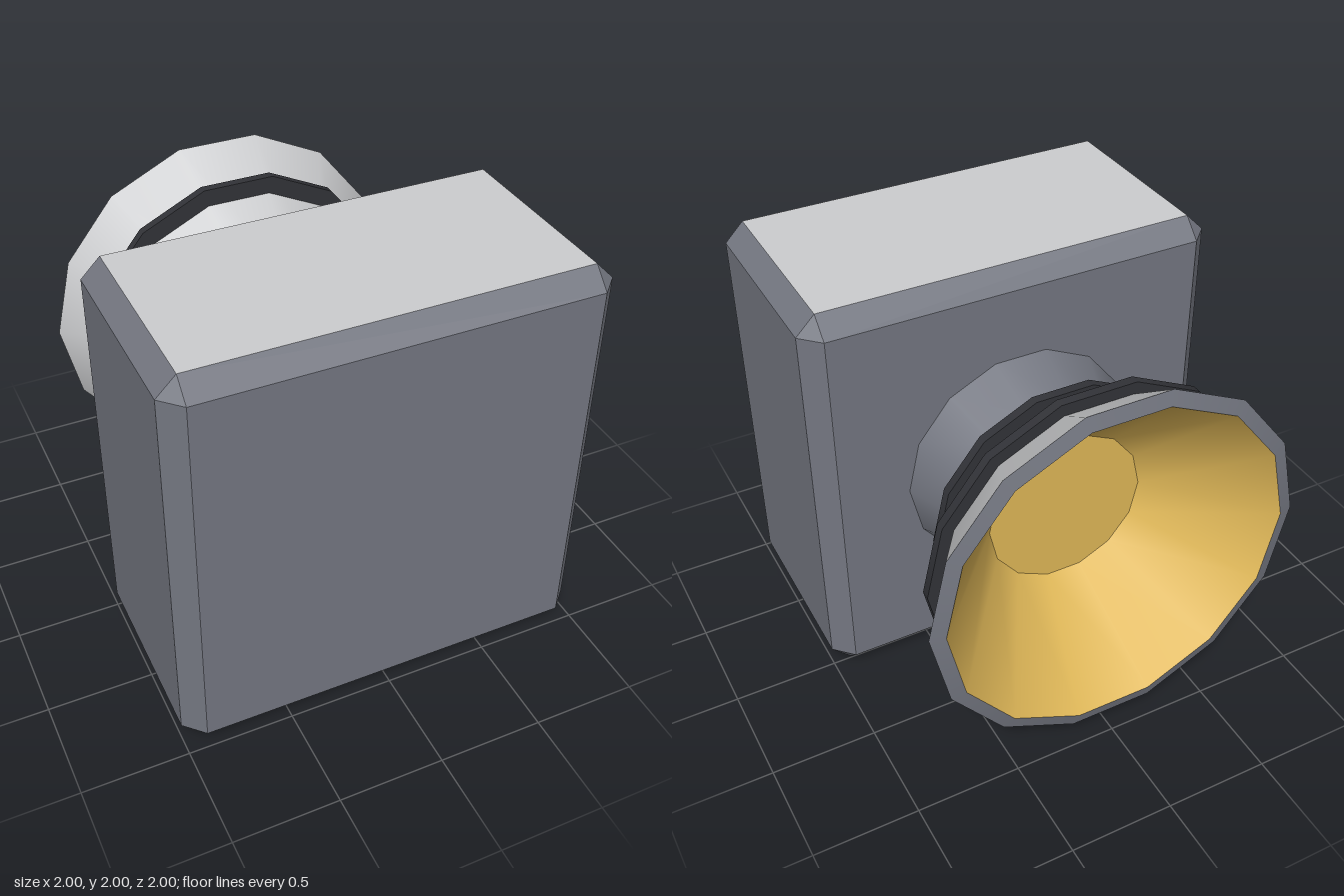
import * as THREE from 'three';
import { mergeGeometries } from 'three/addons/utils/BufferGeometryUtils.js';
import { ConvexGeometry } from 'three/addons/geometries/ConvexGeometry.js';

const SIDES = 14;
const AXIS_Y = 1;

function material(name, color) {
  const m = new THREE.MeshStandardMaterial({ color });
  m.name = name;
  return m;
}

// Turned part around the z axis. Profile points are [radius, z], running towards -z
// for outward faces; each step is its own lathe, so edges between steps stay sharp.
function turned(name, profile, mat) {
  const steps = [];
  for (let i = 0; i < profile.length - 1; i++) {
    const pts = [profile[i], profile[i + 1]].map(([r, z]) => new THREE.Vector2(r, -z));
    steps.push(new THREE.LatheGeometry(pts, SIDES, Math.PI / 2));
  }
  const geo = mergeGeometries(steps);
  geo.rotateX(-Math.PI / 2);
  geo.translate(0, AXIS_Y, 0);
  const mesh = new THREE.Mesh(geo, mat);
  mesh.name = name;
  return mesh;
}

// Box with every edge cut at 45 degrees; its top and bottom take the second material.
function chamferedBox(name, w, h, d, c, sideMat, capMat) {
  const pts = [];
  for (const sx of [-1, 1]) for (const sy of [-1, 1]) for (const sz of [-1, 1]) {
    const x = w / 2, y = h / 2, z = d / 2;
    pts.push(new THREE.Vector3(sx * x, sy * (y - c), sz * (z - c)));
    pts.push(new THREE.Vector3(sx * (x - c), sy * y, sz * (z - c)));
    pts.push(new THREE.Vector3(sx * (x - c), sy * (y - c), sz * z));
  }
  const geo = new ConvexGeometry(pts);
  const normal = geo.attributes.normal;
  for (let i = 0; i < normal.count; i += 3) {
    geo.addGroup(i, 3, Math.abs(normal.getY(i)) > 0.95 ? 1 : 0);
  }
  const mesh = new THREE.Mesh(geo, [sideMat, capMat]);
  mesh.name = name;
  return mesh;
}

export function createModel() {
  const slate = material('slate grey', 0x747781);
  const light = material('light grey', 0xcccdcf);
  const dark = material('near black', 0x323338);
  const gold = material('gold', 0xe0b858);

  const model = new THREE.Group();
  model.name = 'boxWithHorn';

  // Housing
  const housing = chamferedBox('housing', 2, 2, 1.08, 0.09, slate, light);
  housing.position.set(0, 1, 0.46);
  model.add(housing);

  // Neck and flared horn
  model.add(turned('neck', [[0.577, -0.075], [0.457, -0.345]], slate));
  model.add(turned('hornShell', [[0.457, -0.345], [0.9, -0.98]], light));
  model.add(turned('hornRim', [[0.9, -0.98], [0.83, -1]], slate));

  // Horn lining with its flat floor
  model.add(turned('hornLining', [[0.83, -1], [0.385, -0.51], [0, -0.51]], gold));

  // Bands around the horn
  for (const [name, z, outer, inner] of [
    ['innerBand', -0.46, 0.625, 0.52],
    ['outerBand', -0.732, 0.8, 0.7],
  ]) {
    const a = z + 0.022, b = z - 0.022;
    model.add(turned(name, [[inner, a], [outer, a], [outer, b], [inner, b]], dark));
  }

  return model;
}
